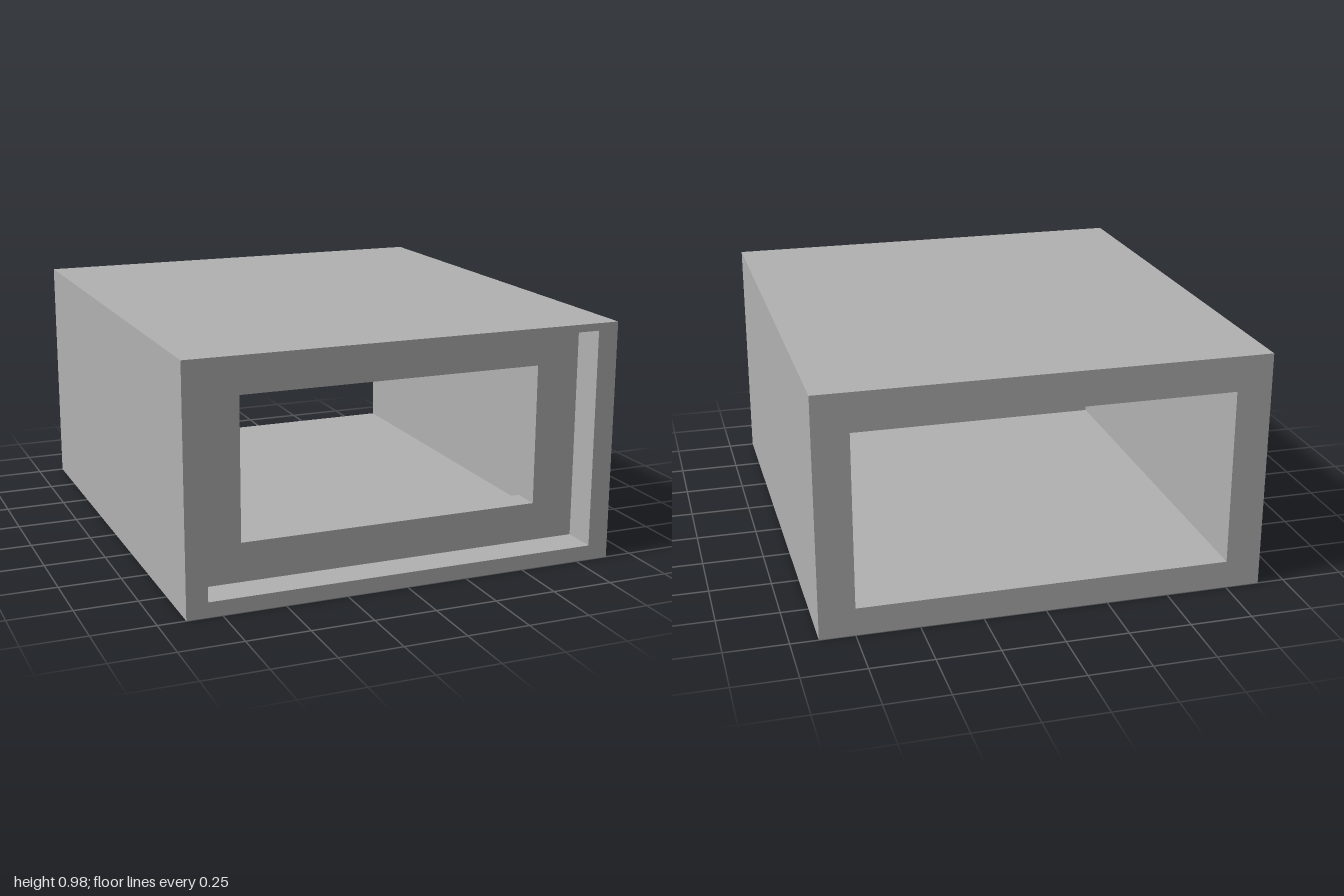
import * as THREE from 'three';

// Rectangular ring of four corners at depth z, counter-clockwise seen from the front
const ring = (halfWidth, bottom, top, z) => [
  [-halfWidth, bottom, z], [halfWidth, bottom, z], [halfWidth, top, z], [-halfWidth, top, z],
];

// Closed shell made by bridging each ring to the next, and the last to the first
function shellGeometry(rings) {
  const positions = [];
  rings.forEach((a, i) => {
    const b = rings[(i + 1) % rings.length];
    for (let j = 0; j < 4; j++) {
      const k = (j + 1) % 4;
      positions.push(...a[j], ...b[j], ...b[k], ...a[j], ...b[k], ...a[k]);
    }
  });
  const geometry = new THREE.BufferGeometry();
  geometry.setAttribute('position', new THREE.Float32BufferAttribute(positions, 3));
  geometry.computeVertexNormals();
  return geometry;
}

export function createModel() {
  const group = new THREE.Group();
  group.name = 'hollowHousing';

  const grey = new THREE.MeshStandardMaterial({ color: 0xb2b2b2 });
  grey.name = 'grey';

  const front = 1, back = -1;
  const recessZ = front - 0.145;      // floor of the front recess
  const lipZ = recessZ - 0.115;       // rear of the window lip

  const housing = new THREE.Mesh(shellGeometry([
    // outer box
    ring(0.89, 0, 0.975, front),
    ring(0.89, 0, 0.975, back),
    // rear cavity
    ring(0.748, 0.113, 0.833, back),
    ring(0.748, 0.113, 0.833, lipZ),
    // window through the front wall
    ring(0.625, 0.217, 0.79, lipZ),
    ring(0.625, 0.217, 0.79, recessZ),
    // shallow front recess
    ring(0.805, 0.06, 0.945, recessZ),
    ring(0.805, 0.06, 0.945, front),
  ]), grey);
  housing.name = 'housing';
  group.add(housing);

  return group;
}
